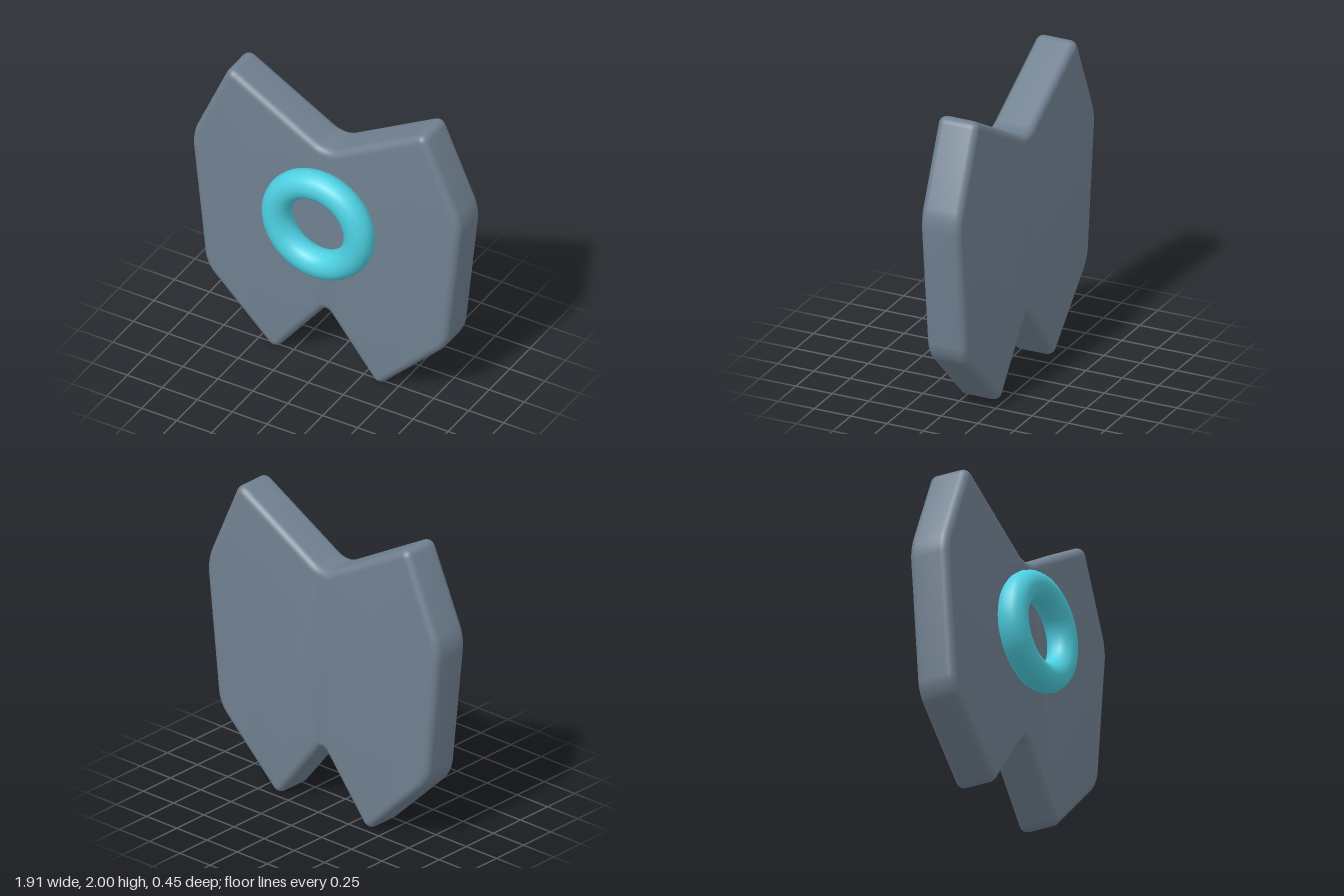
import * as THREE from 'three';
import { toCreasedNormals } from 'three/addons/utils/BufferGeometryUtils.js';

// Closed outline with each corner rounded; corners are [x, y, tangentLength]
function roundedOutline(corners) {
  const shape = new THREE.Shape();
  const n = corners.length;
  corners.forEach(([x, y, t], i) => {
    const p = new THREE.Vector2(x, y);
    const toward = ([qx, qy], d) =>
      new THREE.Vector2(qx - x, qy - y).setLength(d).add(p);
    const a = toward(corners[(i + n - 1) % n], t);
    const b = toward(corners[(i + 1) % n], t);
    const c1 = a.clone().lerp(p, 0.56);
    const c2 = b.clone().lerp(p, 0.56);
    if (i === 0) shape.moveTo(a.x, a.y);
    else shape.lineTo(a.x, a.y);
    shape.bezierCurveTo(c1.x, c1.y, c2.x, c2.y, b.x, b.y);
  });
  shape.closePath();
  return shape;
}

export function createModel() {
  const group = new THREE.Group();

  // Chest plate: left half of the outline, mirrored to the right
  const lowerNotch = [0, 0.45, 0.053];
  const upperNotch = [0, 1.627, 0.088];
  const side = [
    [0.37, -0.021, 0.06],
    [0.863, 0.46, 0.08],
    [0.964, 1.416, 0.08],
    [0.697, 2.023, 0.06],
  ];
  const mirrored = side.map(([x, y, t]) => [-x, y, t]).reverse();
  const outline = roundedOutline([lowerNotch, ...side, upperNotch, ...mirrored]);

  const bevel = 0.05;
  const thickness = 0.275;
  const plateGeometry = new THREE.ExtrudeGeometry(outline, {
    depth: thickness - 2 * bevel,
    bevelThickness: bevel,
    bevelSize: bevel,
    bevelOffset: -bevel,
    bevelSegments: 6,
    curveSegments: 8,
  });
  plateGeometry.translate(0, 0, -0.225 + bevel);
  const plate = new THREE.Mesh(
    toCreasedNormals(plateGeometry, 0.6),
    new THREE.MeshStandardMaterial({ color: 0x708090 })
  );
  plate.name = 'chestPlate';
  group.add(plate);

  // Ring set into the front of the plate
  const ring = new THREE.Mesh(
    new THREE.TorusGeometry(0.293, 0.097, 16, 64),
    new THREE.MeshStandardMaterial({ color: 0x4dd0e1 })
  );
  ring.name = 'ring';
  ring.position.set(0, 1.142, 0.128);
  group.add(ring);

  return group;
}
